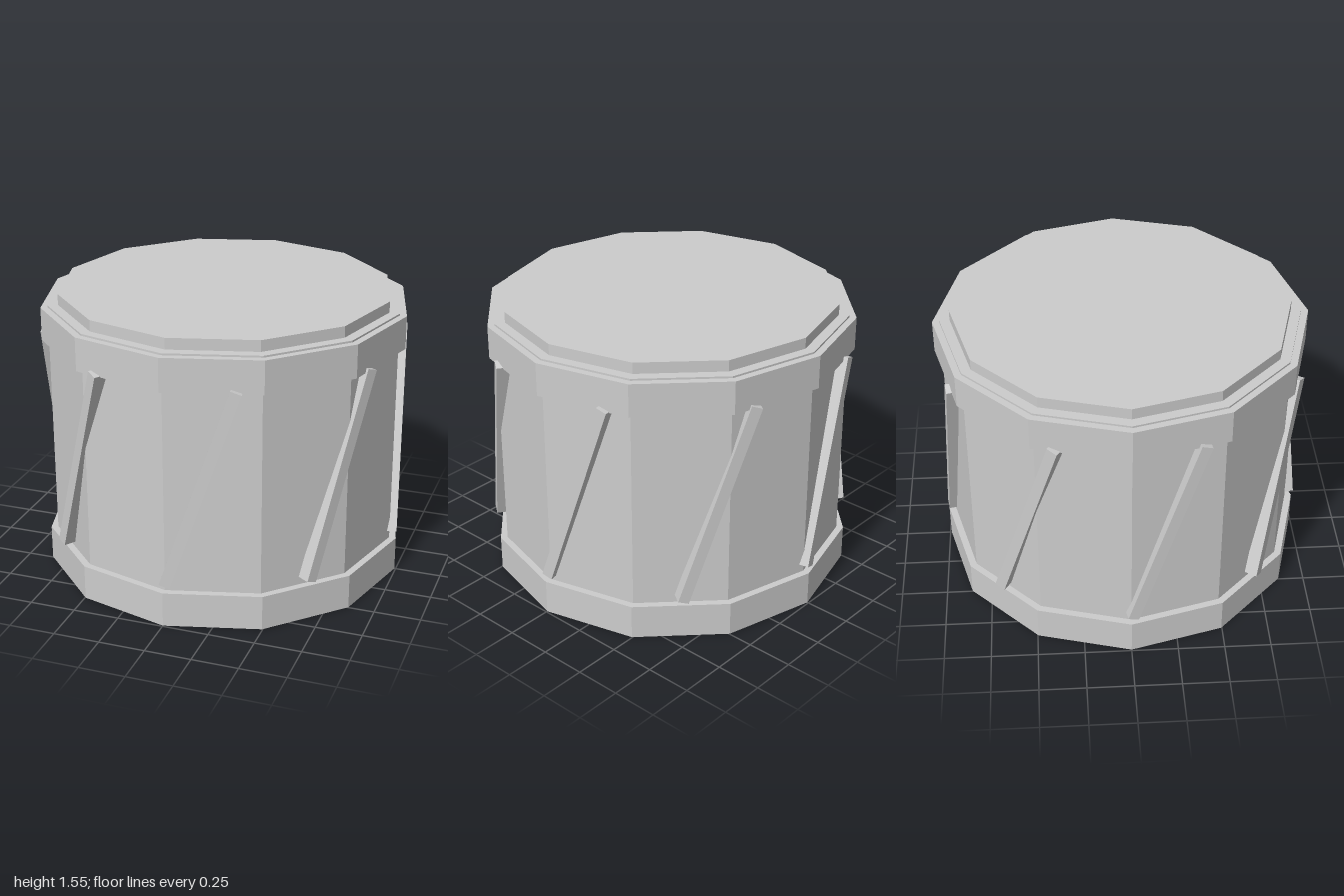
import * as THREE from 'three';

export function createModel() {
  const model = new THREE.Group();
  model.name = 'drum';

  const grey = new THREE.MeshStandardMaterial({ color: 0xcccccc, flatShading: true });
  grey.name = 'light grey';

  const SIDES = 12;

  // Twelve-sided band between two heights
  function drumPart(name, radius, bottom, top) {
    const height = top - bottom;
    const mesh = new THREE.Mesh(new THREE.CylinderGeometry(radius, radius, height, SIDES), grey);
    mesh.name = name;
    mesh.position.y = bottom + height / 2;
    model.add(mesh);
  }

  drumPart('shell', 0.955, 0.01, 1.49);
  drumPart('lowerHoop', 0.993, 0, 0.19);
  drumPart('upperHoop', 0.993, 1.3, 1.48);
  drumPart('drumHead', 0.9, 1.4, 1.55);

  // Slanted tension rods lying tangent to the shell
  const rods = new THREE.Group();
  rods.name = 'tensionRods';
  const ROD_COUNT = 8;
  const rodGeometry = new THREE.BoxGeometry(0.06, 1.147, 0.07);
  rodGeometry.rotateZ(-THREE.MathUtils.degToRad(18.7));
  rodGeometry.translate(0, 0.7725, 0.941);
  for (let i = 0; i < ROD_COUNT; i++) {
    const rod = new THREE.Mesh(rodGeometry, grey);
    rod.name = `tensionRod${i + 1}`;
    rod.rotation.y = ((i + 0.25) / ROD_COUNT) * Math.PI * 2;
    rods.add(rod);
  }
  model.add(rods);

  return model;
}
